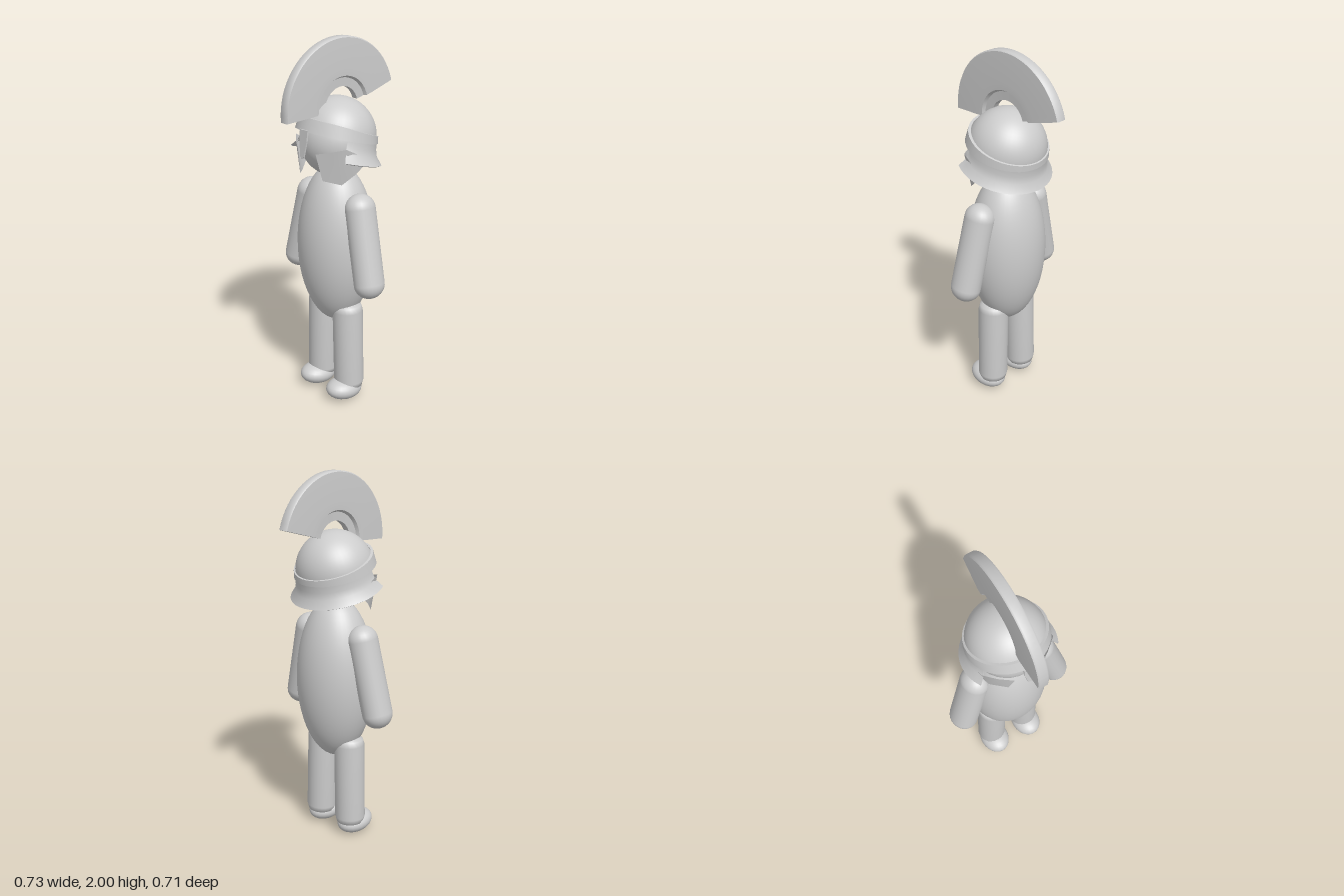
import * as THREE from 'three';
import { toCreasedNormals } from 'three/addons/utils/BufferGeometryUtils.js';

const rad = THREE.MathUtils.degToRad;
const V2 = (list) => list.map(([x, y]) => new THREE.Vector2(x, y));

export function createModel() {
  const model = new THREE.Group();
  const grey = new THREE.MeshStandardMaterial({ color: 0xcccccc, side: THREE.DoubleSide });
  grey.name = 'plain grey';

  function add(parent, name, geometry, x = 0, y = 0, z = 0) {
    const mesh = new THREE.Mesh(geometry, grey);
    mesh.name = name;
    mesh.position.set(x, y, z);
    parent.add(mesh);
    return mesh;
  }

  // Point a part's y axis from the low point to the high point
  function aim(mesh, low, high) {
    const a = new THREE.Vector3(...low), b = new THREE.Vector3(...high);
    mesh.position.copy(a).add(b).multiplyScalar(0.5);
    mesh.quaternion.setFromUnitVectors(new THREE.Vector3(0, 1, 0), b.sub(a).normalize());
  }

  // Body and head
  add(model, 'body', new THREE.SphereGeometry(1, 40, 28), 0, 0.9, 0.022).scale.set(0.22, 0.45, 0.2);
  add(model, 'head', new THREE.SphereGeometry(0.192, 32, 24), 0, 1.475, 0.02);

  // Limbs, mirrored
  const legProfile = V2([[0, -0.26], [0.05, -0.26], [0.075, -0.245], [0.083, -0.215],
    [0.083, 0.215], [0.075, 0.245], [0.05, 0.258], [0, 0.262]]);
  for (const side of [1, -1]) {
    const label = side > 0 ? 'left' : 'right';
    const arm = add(model, label + 'Arm', new THREE.CapsuleGeometry(0.078, 0.4, 10, 24));
    aim(arm, [side * 0.288, 0.757, 0.043], [side * 0.193, 1.147, 0.026]);
    arm.scale.z = 1.08;
    const leg = add(model, label + 'Leg', new THREE.LatheGeometry(legProfile, 24));
    aim(leg, [side * 0.113, 0.06, 0.025], [side * 0.1, 0.58, 0.027]);
    const foot = add(model, label + 'Foot', new THREE.SphereGeometry(1, 24, 16), side * 0.113, 0.062, 0.063);
    foot.scale.set(0.085, 0.059, 0.11);
    foot.rotation.x = -0.1;
  }

  // Helmet shell, leaning back
  const helmet = new THREE.Group();
  helmet.name = 'helmet';
  helmet.position.set(0, 1.495, 0.018);
  helmet.rotation.x = -rad(15);
  model.add(helmet);
  add(helmet, 'dome', new THREE.SphereGeometry(0.207, 40, 16, 0, Math.PI * 2, 0, Math.PI / 2));

  // Brow band, taller at the front than at the back
  const band = new THREE.LatheGeometry(V2([[0.205, 0], [0.218, 0], [0.212, 0.05], [0.198, 0.052]]), 40);
  const p = band.attributes.position;
  for (let i = 0; i < p.count; i++) {
    p.setY(i, p.getY(i) * (1 + 1.9 * p.getZ(i)));
  }
  add(helmet, 'browBand', toCreasedNormals(band, rad(35)));

  // Flared neck guard, open at the face
  const guard = V2([[0.204, 0], [0.207, -0.035], [0.218, -0.07], [0.25, -0.108], [0.243, -0.112],
    [0.211, -0.074], [0.2, -0.035], [0.198, 0], [0.204, 0]].reverse());
  add(helmet, 'neckGuard',
    toCreasedNormals(new THREE.LatheGeometry(guard, 28, rad(62), rad(236)), rad(40)), 0, 0, -0.012);

  // Nose guard
  const nose = new THREE.Shape(V2([[-0.03, 0.075], [-0.028, 0.02], [-0.014, -0.062],
    [0, -0.072], [0.014, -0.062], [0.028, 0.02], [0.03, 0.075]]));
  const noseGuard = add(model, 'noseGuard',
    new THREE.ExtrudeGeometry(nose, { depth: 0.008, bevelEnabled: false }), 0, 1.485, 0.235);
  noseGuard.rotation.x = -0.1;

  // Cheek plates: pairs of upper and lower points from front to back
  const rows = [
    [[0.07, 1.445, 0.218], [0.09, 1.305, 0.19]],
    [[0.14, 1.462, 0.175], [0.16, 1.285, 0.122]],
    [[0.2, 1.48, 0.125], [0.193, 1.335, 0.062]],
    [[0.214, 1.43, 0.03], [0.206, 1.385, 0.0]],
  ];
  for (const side of [1, -1]) {
    const points = [], faces = [];
    for (const row of rows) for (const [x, y, z] of row) points.push(side * x, y, z);
    for (let i = 0; i < rows.length - 1; i++) {
      const a = i * 2;
      if (side > 0) faces.push(a, a + 1, a + 2, a + 2, a + 1, a + 3);
      else faces.push(a, a + 2, a + 1, a + 2, a + 3, a + 1);
    }
    const plate = new THREE.BufferGeometry();
    plate.setAttribute('position', new THREE.Float32BufferAttribute(points, 3));
    plate.setIndex(faces);
    plate.computeVertexNormals();
    add(model, (side > 0 ? 'left' : 'right') + 'CheekPlate', plate);
  }

  // Crest: a tapered section swept along an arc, with capped ends
  const crest = new THREE.Group();
  crest.name = 'crest';
  crest.position.set(0, 1.64, 0);
  model.add(crest);
  const section = [[0.11, -0.018], [0.155, -0.02], [0.165, -0.036], [0.2, -0.037], [0.355, -0.028],
    [0.361, -0.02], [0.361, 0.02], [0.355, 0.028], [0.2, 0.037], [0.165, 0.036], [0.155, 0.02], [0.11, 0.018]];
  const start = rad(-4), end = rad(164);
  const sweep = new THREE.LatheGeometry(V2([...section, section[0]]), 32, start, end - start);
  sweep.rotateZ(Math.PI / 2);
  add(crest, 'crestArc', toCreasedNormals(sweep, rad(40)));
  for (const [name, angle] of [['crestFrontEnd', start], ['crestBackEnd', end]]) {
    const cap = new THREE.ShapeGeometry(new THREE.Shape(V2(section)));
    cap.rotateZ(Math.PI / 2);
    cap.rotateX(Math.PI / 2 - angle);
    add(crest, name, cap);
  }

  return model;
}
